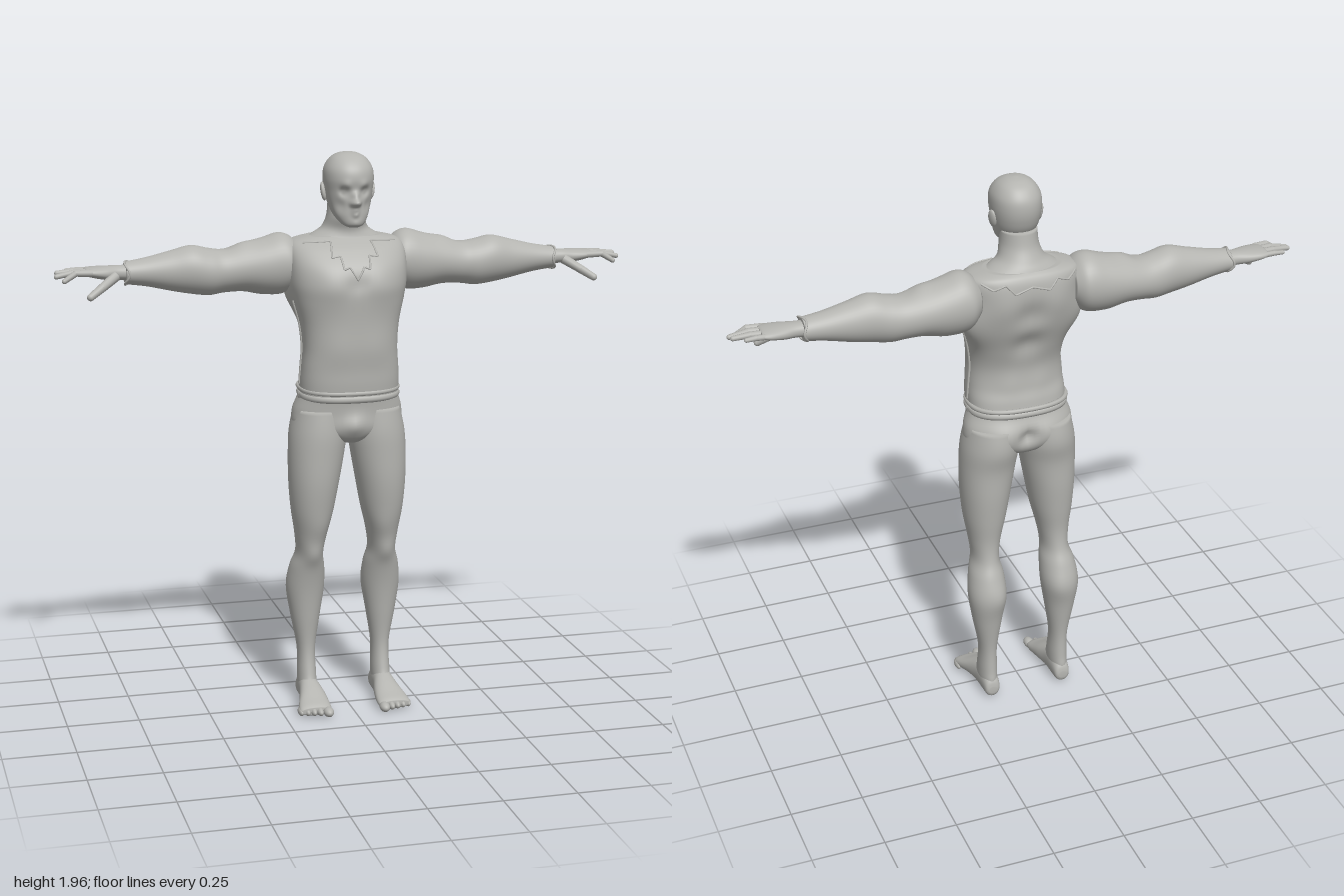
import * as THREE from 'three';

const skin = new THREE.MeshStandardMaterial({ color: 0xb4b4b0 });
skin.name = 'clay grey';

// Places a cross-section point (a, b) at station t along an axis.
const AXIS = {
  y: (t, a, b) => new THREE.Vector3(a, t, b),
  x: (t, a, b) => new THREE.Vector3(t, a, b),
  z: (t, a, b) => new THREE.Vector3(a, b, t),
};

// Smoothly subdivides rings [t, aLow, aHigh, bLow, bHigh].
function densify(rings, steps) {
  const out = [];
  for (let i = 0; i < rings.length - 1; i++) {
    const p = [rings[Math.max(i - 1, 0)], rings[i], rings[i + 1], rings[Math.min(i + 2, rings.length - 1)]];
    for (let s = 0; s < steps; s++) {
      const u = s / steps;
      out.push(p[1].map((v, k) => 0.5 * (2 * v + (p[2][k] - p[0][k]) * u +
        (2 * p[0][k] - 5 * v + 4 * p[2][k] - p[3][k]) * u * u +
        (3 * v - p[0][k] - 3 * p[2][k] + p[3][k]) * u * u * u)));
    }
  }
  out.push(rings[rings.length - 1]);
  return out;
}

// Soft muscle bumps: [x, y, z, radius, dx, dy, dz].
function applyBumps(p, bumps) {
  const q = p.clone();
  for (const [x, y, z, r, dx, dy, dz] of bumps) {
    const w = Math.exp(-((p.x - x) ** 2 + (p.y - y) ** 2 + (p.z - z) ** 2) / (r * r));
    q.add(new THREE.Vector3(dx * w, dy * w, dz * w));
  }
  return q;
}
const both = (list) => list.flatMap((b) => (b[0] === 0 ? [b] : [b, [-b[0], b[1], b[2], b[3], -b[4], b[5], b[6]]]));

// Closed loft through superellipse rings, optionally mirrored in x.
function loft(name, axis, rings, { sides = 32, steps = 5, power = 2.2, bumps = [], mirror = 1 } = {}) {
  const dense = densify(rings, steps), pos = [], idx = [];
  const add = (v) => { const p = applyBumps(v, bumps); pos.push(p.x * mirror, p.y, p.z); };
  const round = (c) => Math.sign(c) * Math.abs(c) ** (2 / power);
  for (const [t, a0, a1, b0, b1] of dense) {
    for (let j = 0; j < sides; j++) {
      const th = (j / sides) * Math.PI * 2;
      add(AXIS[axis](t, (a0 + a1) / 2 + (a1 - a0) / 2 * round(Math.cos(th)), (b0 + b1) / 2 + (b1 - b0) / 2 * round(Math.sin(th))));
    }
  }
  const n = dense.length;
  for (let i = 0; i < n - 1; i++) for (let j = 0; j < sides; j++) {
    const a = i * sides + j, b = i * sides + (j + 1) % sides;
    idx.push(a, a + sides, b, b, a + sides, b + sides);
  }
  [dense[0], dense[n - 1]].forEach(([t, a0, a1, b0, b1], e) => {
    add(AXIS[axis](t, (a0 + a1) / 2, (b0 + b1) / 2));
    for (let j = 0; j < sides; j++) {
      const a = e * (n - 1) * sides + j, b = e * (n - 1) * sides + (j + 1) % sides;
      idx.push(n * sides + e, ...(e ? [b, a] : [a, b]));
    }
  });
  // the y axis keeps this corner order; the other axes and mirroring reverse it
  if ((axis === 'y') === (mirror > 0)) { /* already outward */ }
  else for (let i = 0; i < idx.length; i += 3) [idx[i + 1], idx[i + 2]] = [idx[i + 2], idx[i + 1]];
  const g = new THREE.BufferGeometry();
  g.setAttribute('position', new THREE.Float32BufferAttribute(pos, 3));
  g.setIndex(idx);
  g.computeVertexNormals();
  return named(name, g);
}

function named(name, geometry) {
  const m = new THREE.Mesh(geometry, skin);
  m.name = name;
  return m;
}

function ellipsoid(name, x, y, z, rx, ry, rz) {
  const m = named(name, new THREE.SphereGeometry(1, 20, 14));
  m.position.set(x, y, z);
  m.scale.set(rx, ry, rz);
  return m;
}

function tube(name, pts, r, closed = false, tension = 0.5) {
  const curve = new THREE.CatmullRomCurve3(pts, closed, 'catmullrom', tension);
  return named(name, new THREE.TubeGeometry(curve, pts.length * 6, r, 8, closed));
}

// Tapered round-ended finger through three points.
function finger(name, pts, r, s) {
  const g = new THREE.Group();
  g.name = name;
  const v = pts.map(([x, y, z]) => new THREE.Vector3(x * s, y, z));
  for (let i = 0; i < 2; i++) {
    const d = v[i + 1].clone().sub(v[i]), r0 = r * (1 - 0.15 * i), r1 = r * (0.85 - 0.15 * i);
    const m = named('finger joint', new THREE.CylinderGeometry(r1, r0, d.length(), 12, 1, true));
    m.position.copy(v[i]).addScaledVector(d, 0.5);
    m.quaternion.setFromUnitVectors(new THREE.Vector3(0, 1, 0), d.clone().normalize());
    g.add(m, ellipsoid('knuckle', v[i + 1].x, v[i + 1].y, v[i + 1].z, r1, r1, r1));
  }
  return g;
}

export function createModel() {
  const model = new THREE.Group();
  model.name = 'figure';

  // Head with face modelled by bumps
  model.add(loft('head', 'y', [
    [1.712, -.02, .02, .06, .1], [1.722, -.038, .038, .03, .11], [1.75, -.058, .058, -.03, .112],
    [1.79, -.072, .072, -.07, .11], [1.83, -.08, .08, -.088, .108], [1.87, -.084, .084, -.094, .114],
    [1.905, -.08, .08, -.088, .106], [1.935, -.062, .062, -.066, .08], [1.952, -.036, .036, -.034, .046],
    [1.958, -.006, .006, 0, .012]], {
    sides: 96, steps: 9, bumps: both([
      [0, 1.797, .113, .014, 0, 0, .034], [0, 1.82, .113, .013, 0, 0, .016], [.012, 1.793, .108, .009, 0, 0, .01],
      [.036, 1.832, .1, .017, 0, 0, -.015], [.034, 1.831, .098, .009, 0, 0, .006], [.03, 1.852, .105, .016, 0, 0, .006],
      [0, 1.77, .112, .013, 0, 0, .011], [0, 1.755, .112, .011, 0, 0, .008], [0, 1.763, .112, .006, 0, 0, -.004],
      [0, 1.728, .11, .018, 0, 0, .008], [.05, 1.785, .09, .025, -.006, 0, -.005]]),
  }));
  for (const s of [1, -1]) {
    const ear = ellipsoid('ear', .083 * s, 1.825, -.002, .01, .032, .019);
    ear.rotation.set(-.15, .3 * s, -.12 * s);
    model.add(ear);
  }

  // Neck and trapezius
  model.add(loft('neck', 'y', [
    [1.60, -.15, .15, -.13, .06], [1.65, -.15, .15, -.138, .04], [1.675, -.115, .115, -.13, .03],
    [1.70, -.08, .08, -.115, .03], [1.74, -.066, .066, -.095, .045], [1.79, -.062, .062, -.085, .04]], { power: 2 }));

  // Shirt
  const shirtRings = [
    [1.13, -.172, .172, -.115, .135], [1.18, -.172, .172, -.105, .14], [1.23, -.168, .168, -.088, .142],
    [1.3, -.163, .163, -.088, .147], [1.38, -.17, .17, -.112, .15], [1.46, -.188, .188, -.14, .152],
    [1.52, -.2, .2, -.153, .15], [1.58, -.204, .204, -.158, .132], [1.63, -.203, .203, -.155, .09],
    [1.658, -.185, .185, -.145, .05], [1.672, -.13, .13, -.13, .025]];
  const shirtBumps = both([
    [.085, 1.52, .14, .07, 0, 0, .012], [0, 1.52, .15, .03, 0, 0, -.008], [.06, 1.3, .14, .06, 0, 0, .004],
    [.19, 1.47, -.09, .08, .03, 0, 0], [0, 1.4, -.13, .05, 0, 0, .02], [0, 1.52, -.155, .05, 0, 0, .016],
    [.09, 1.56, -.15, .06, 0, 0, -.006], [.05, 1.24, -.09, .05, 0, 0, -.008]]);
  model.add(loft('shirt', 'y', shirtRings, { sides: 72, steps: 6, power: 2.5, bumps: shirtBumps }));

  // Finds the shirt surface at (x, y), front or back
  const dense = densify(shirtRings, 6);
  const onShirt = (x, y, side) => {
    const i = Math.max(1, dense.findIndex((r) => r[0] >= y)), u = (y - dense[i - 1][0]) / (dense[i][0] - dense[i - 1][0]);
    const [, , w, b, f] = dense[i].map((v, k) => dense[i - 1][k] + (v - dense[i - 1][k]) * u);
    const h = (1 - Math.min(1, Math.abs(x) / w) ** 2.5) ** 0.4;
    return applyBumps(new THREE.Vector3(x, y, (b + f) / 2 + side * h * (f - b) / 2), shirtBumps);
  };
  // Jagged neckline, front and back
  const outline = (half, side) => [...half, ...half.slice(0, -1).reverse().map(([x, y]) => [-x, y])]
    .flatMap(([x, y], i, all) => {
      const [nx, ny] = all[Math.min(i + 1, all.length - 1)];
      return [0, .33, .67].map((u) => onShirt(x + (nx - x) * u, y + (ny - y) * u, side));
    }).slice(0, -2);
  model.add(tube('frontNeckline', outline([[.16, 1.655], [.07, 1.66], [.08, 1.612], [.05, 1.617], [.045, 1.575], [.025, 1.582], [0, 1.54]], 1), .0035, false, .1));
  model.add(tube('backNeckline', outline([[.165, 1.65], [.13, 1.63], [.09, 1.645], [.06, 1.612], [0, 1.63]], -1), .0035, false, .1));

  // Side seams
  for (const s of [1, -1]) {
    const pts = [1.17, 1.23, 1.3, 1.38, 1.46].map((y) => {
      const r = dense.find((q) => q[0] >= y - .001);
      return applyBumps(new THREE.Vector3(r[2] * s, r[0], .012), shirtBumps);
    });
    model.add(tube('sideSeam', pts, .005));
  }

  // Belt rolled around the waist, with a small knot at each side
  const ring = (y, w, b, f) => Array.from({ length: 28 }, (_, i) => {
    const t = (i / 28) * Math.PI * 2, c = Math.cos(t), s = Math.sin(t);
    return new THREE.Vector3(Math.sign(c) * Math.abs(c) ** .8 * w, y - .006 * s, (b + f) / 2 + Math.sign(s) * Math.abs(s) ** .8 * (f - b) / 2);
  });
  model.add(tube('beltTop', ring(1.155, .17, -.125, .134), .0085, true));
  model.add(tube('beltBottom', ring(1.134, .165, -.115, .13), .013, true));
  for (const s of [1, -1]) model.add(ellipsoid('beltKnot', .166 * s, 1.13, .01, .013, .017, .022));

  // Hips
  model.add(loft('hips', 'y', [
    [.965, -.04, .04, -.06, .07], [.985, -.1, .1, -.1, .09], [1.02, -.185, .185, -.118, .1],
    [1.07, -.193, .193, -.122, .1], [1.12, -.178, .178, -.105, .105], [1.16, -.165, .165, -.1, .115]], {
    sides: 64, bumps: both([[.09, 1.04, -.12, .06, 0, 0, -.014], [0, 1.05, -.12, .025, 0, 0, .025], [0, 1.03, .1, .035, 0, 0, .018]]),
  }));

  for (const s of [1, -1]) {
    // Leg
    model.add(loft('leg', 'y', [
      [.035, .108, .165, -.12, .01], [.07, .104, .168, -.12, .01], [.11, .103, .168, -.115, -.005], [.2, .104, .168, -.114, -.02],
      [.32, .086, .19, -.132, -.008], [.42, .071, .204, -.148, .006], [.5, .074, .195, -.13, .024],
      [.56, .084, .178, -.104, .042], [.63, .074, .184, -.096, .06], [.72, .052, .198, -.105, .085],
      [.82, .033, .206, -.114, .1], [.92, .015, .207, -.118, .104], [1.0, .004, .202, -.128, .104],
      [1.08, .01, .185, -.122, .095]], {
      sides: 40, mirror: s, power: 2.1, bumps: [[.13, .56, .045, .04, 0, 0, .008], [.1, .43, -.14, .05, 0, 0, -.008],
        [.1, 1.03, -.13, .07, 0, 0, -.008], [.1, .66, .06, .05, 0, 0, .006]],
    }));
    // Foot and toes
    model.add(loft('foot', 'z', [
      [-.126, .12, .152, .02, .045], [-.115, .108, .163, .004, .075], [-.07, .103, .168, 0, .105], [-.02, .1, .172, .002, .1],
      [.03, .09, .182, .003, .08], [.08, .085, .196, 0, .055], [.11, .086, .2, 0, .042], [.125, .095, .195, .008, .032]], { mirror: s }));
    for (let i = 0; i < 5; i++) {
      const r = i ? .0125 - i * .0006 : .018;
      model.add(ellipsoid('toe', s * (i ? .108 + i * .0215 : .102), .017 - i * .0005, (i ? .128 : .134) - i * .007, r, i ? .014 : .017, .028));
    }

    // Arm with shoulder and forearm muscles
    model.add(loft('arm', 'x', [
      [.165, 1.52, 1.65, -.13, .01], [.195, 1.485, 1.675, -.155, .03], [.23, 1.472, 1.682, -.16, .032],
      [.28, 1.475, 1.667, -.158, .028], [.35, 1.486, 1.645, -.152, .018], [.42, 1.484, 1.632, -.143, .012],
      [.47, 1.478, 1.638, -.138, .018], [.53, 1.485, 1.65, -.13, .018], [.6, 1.498, 1.634, -.12, .006],
      [.68, 1.516, 1.615, -.108, -.004], [.74, 1.525, 1.605, -.1, -.008], [.755, 1.527, 1.603, -.1, -.006]], {
      sides: 40, mirror: s, power: 2, bumps: [[.36, 1.64, -.05, .05, 0, .012, 0], [.3, 1.48, -.1, .05, 0, -.006, 0],
        [.4, 1.66, -.06, .03, 0, -.012, 0]],
    }));
    // Uneven cuff edge
    const cuff = Array.from({ length: 20 }, (_, i) => {
      const t = (i / 20) * Math.PI * 2;
      return new THREE.Vector3(s * (.752 + .007 * Math.sin(3 * t)), 1.565 + .039 * Math.cos(t), -.053 + .048 * Math.sin(t));
    });
    model.add(tube('cuff', cuff, .004, true));

    // Hand
    model.add(loft('palm', 'x', [
      [.735, 1.54, 1.592, -.085, -.02], [.78, 1.543, 1.592, -.085, -.018], [.82, 1.545, 1.592, -.094, -.004],
      [.86, 1.553, 1.591, -.1, .002], [.885, 1.56, 1.589, -.098, -.002], [.893, 1.566, 1.585, -.094, -.008]], { mirror: s }));
    const tips = [[.972, 1.552, .002], [.995, 1.564, -.026], [.99, 1.572, -.056], [.955, 1.575, -.09]];
    tips.forEach(([x, y, z], i) => {
      const z0 = -.011 - i * .025;
      model.add(finger('finger', [[.87, 1.574, z0], [.925 - (i === 3 ? .01 : 0), 1.576, (z0 + z) / 2], [x - .008, y, z]], i === 3 ? .0105 : .0125, s));
    });
    model.add(finger('thumb', [[.79, 1.56, -.02], [.84, 1.528, .012], [.883, 1.5, .032]], .0175, s));
  }
  return model;
}
